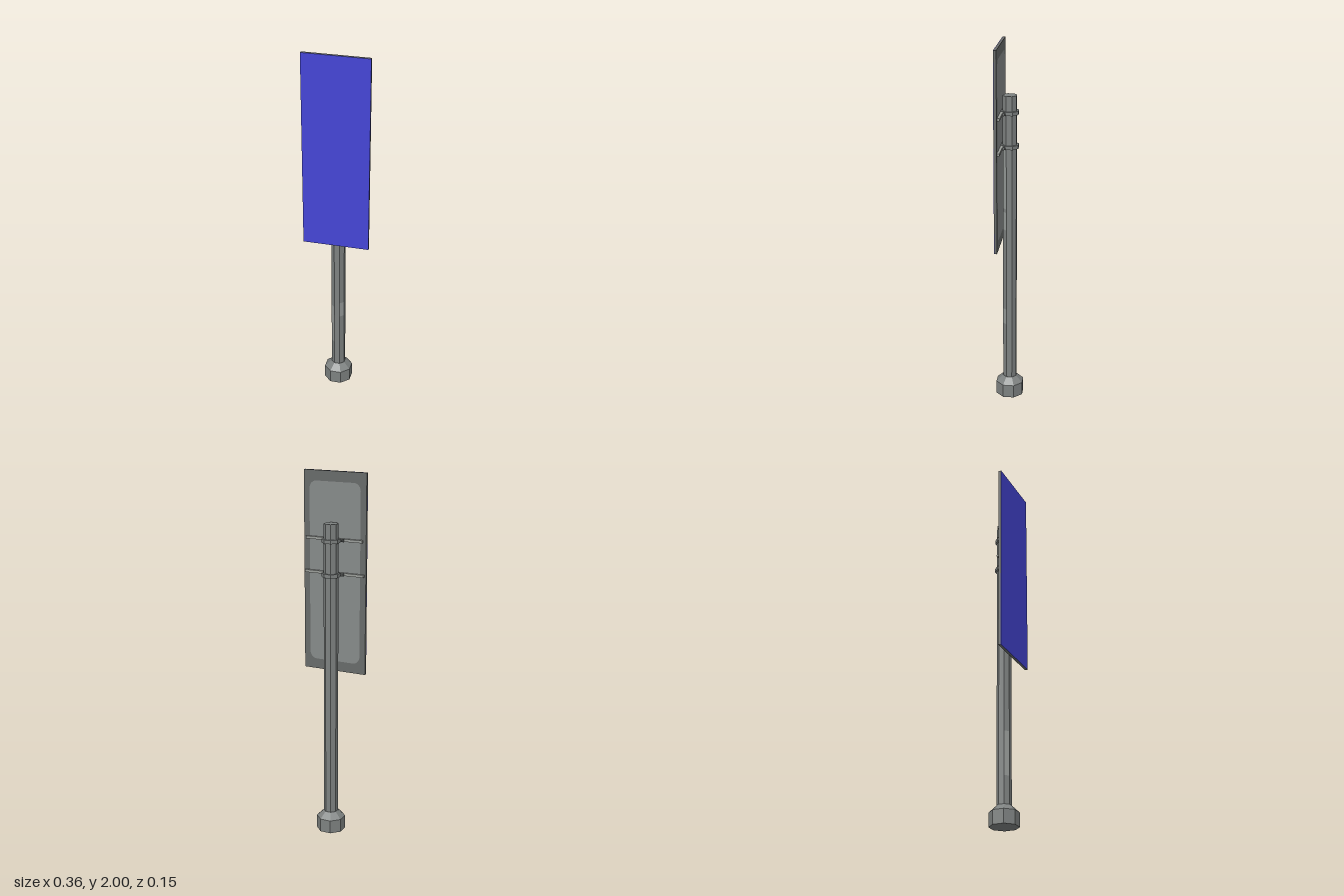
import * as THREE from 'three';

const mat = (name, color) => {
  const m = new THREE.MeshStandardMaterial({ color, flatShading: true });
  m.name = name;
  return m;
};

export function createModel() {
  const model = new THREE.Group();
  model.name = 'roadSign';
  const steel = mat('steel grey', 0x7d8180);
  const worn = mat('worn steel', 0x959997);
  const rim = mat('rim grey', 0x676a69);
  const backGrey = mat('panel back grey', 0x868a89);
  const bracket = mat('bracket grey', 0x9a9d99);
  const blue = mat('sign blue', 0x4545d6);

  const add = (name, geometry, material, x = 0, y = 0, z = 0, parent = model) => {
    const mesh = new THREE.Mesh(geometry, material);
    mesh.name = name;
    mesh.position.set(x, y, z);
    parent.add(mesh);
    return mesh;
  };
  // Octagonal prism with flats facing the axes; sizes are given across the flats
  const octagon = (top, bottom, height) => {
    const k = 1 / Math.cos(Math.PI / 8);
    return new THREE.CylinderGeometry(top * k, bottom * k, height, 8, 1, false, Math.PI / 8);
  };

  // Footing and pole
  add('footing', octagon(0.073, 0.073, 0.075), steel, 0, 0.0375, 0);
  add('footingTaper', octagon(0.037, 0.073, 0.035), steel, 0, 0.0925, 0);
  add('pole', octagon(0.036, 0.036, 1.635), steel, 0, 0.9175, 0);

  // Worn patches on the front diagonal faces of the pole: side, bottom, top
  for (const [side, y0, y1] of [[1, 0.44, 0.53], [1, 1.0, 1.1], [1, 1.12, 1.45], [-1, 0.26, 0.5]]) {
    const d = 0.0363 * Math.SQRT1_2;
    const patch = add('wornPatch', new THREE.PlaneGeometry(0.028, y1 - y0), worn, side * d, (y0 + y1) / 2, d);
    patch.rotation.y = side * Math.PI / 4;
  }

  // Sign panel: grey tray with a blue face
  add('panel', new THREE.BoxGeometry(0.36, 1.08, 0.014), rim, 0, 1.46, 0.053);
  add('signFace', new THREE.BoxGeometry(0.36, 1.08, 0.002), blue, 0, 1.46, 0.061);

  // Rounded inset on the back of the panel
  const w = 0.147, h = 0.485, r = 0.04;
  const inset = new THREE.Shape();
  inset.moveTo(-w + r, -h);
  inset.lineTo(w - r, -h);
  inset.absarc(w - r, -h + r, r, -Math.PI / 2, 0);
  inset.absarc(w - r, h - r, r, 0, Math.PI / 2);
  inset.absarc(-w + r, h - r, r, Math.PI / 2, Math.PI);
  inset.absarc(-w + r, -h + r, r, Math.PI, Math.PI * 1.5);
  add('panelInset', new THREE.ShapeGeometry(inset, 6), backGrey, 0, 1.46, 0.0455).rotation.y = Math.PI;

  // Two clamps, each with a crossbar and a pair of bolted lugs
  for (const [y, half] of [[1.645, 0.163], [1.463, 0.171]]) {
    const clamp = new THREE.Group();
    clamp.name = 'clamp';
    clamp.position.y = y;
    model.add(clamp);
    add('collar', octagon(0.046, 0.046, 0.02), steel, 0, 0, 0, clamp);
    add('crossbar', new THREE.BoxGeometry(half * 2, 0.014, 0.014), bracket, 0, 0, 0.039, clamp);
    for (const s of [-1, 1]) {
      add('lug', new THREE.BoxGeometry(0.016, 0.016, 0.008), steel, s * 0.051, 0, 0.028, clamp);
      const bolt = add('bolt', new THREE.CylinderGeometry(0.004, 0.004, 0.01, 6), rim, s * 0.052, 0, 0.022, clamp);
      bolt.rotation.x = Math.PI / 2;
    }
  }
  return model;
}
